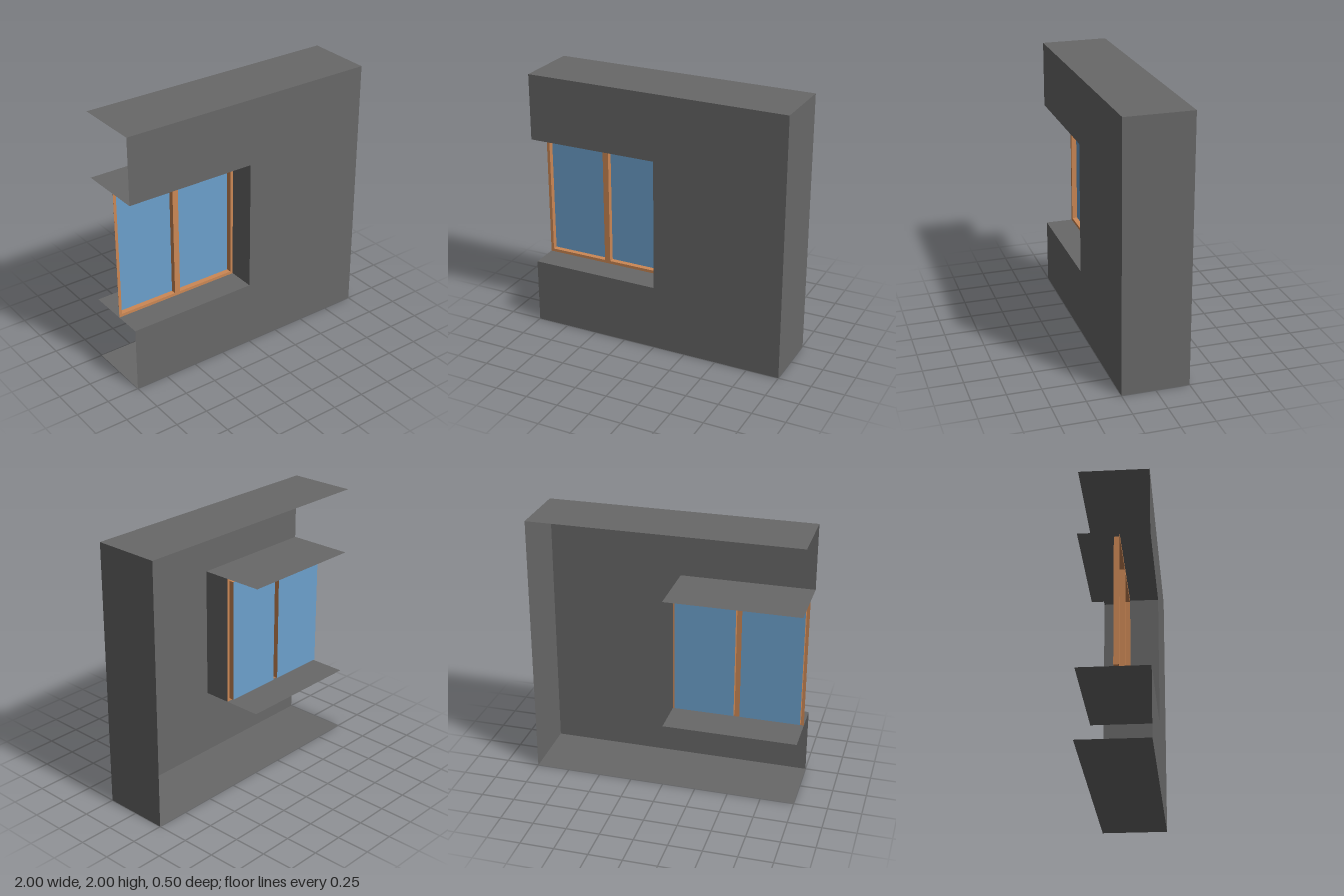
import * as THREE from 'three';

const DEPTH = 0.25;             // half depth of the wall
const FRAME_Z = 0.04;           // front plane of the window frame
const GLASS_Z = 0;              // plane of the panes
const BAR = 0.0225;             // visible width of a frame bar
const SILL = 0.5, LINTEL = 1.5; // bottom and top of the opening

const paint = (color) => new THREE.MeshStandardMaterial({ color, side: THREE.DoubleSide, flatShading: true });

function part(parent, name, geometry, material) {
  const mesh = new THREE.Mesh(geometry, material);
  mesh.name = name;
  parent.add(mesh);
  return mesh;
}

// Thin sheet lying level at height y, facing up (or down)
function levelSheet(x0, x1, z0, z1, y, down = false) {
  return new THREE.PlaneGeometry(x1 - x0, z1 - z0)
    .rotateX(down ? Math.PI / 2 : -Math.PI / 2)
    .translate((x0 + x1) / 2, y, (z0 + z1) / 2);
}

// Thin sheet standing across x, facing +x (or -x)
function sideSheet(y0, y1, z0, z1, x, inward = false) {
  return new THREE.PlaneGeometry(z1 - z0, y1 - y0)
    .rotateY(inward ? -Math.PI / 2 : Math.PI / 2)
    .translate(x, (y0 + y1) / 2, (z0 + z1) / 2);
}

const rectangle = (x0, x1, y0, y1) => [[x0, y0], [x1, y0], [x1, y1], [x0, y1]].map((p) => new THREE.Vector2(...p));

export function createModel() {
  const model = new THREE.Group();
  const wallPaint = paint(0x686868);
  const framePaint = paint(0xcc8855);
  const glassPaint = paint(0x6ca0cc);

  // Wall shell: notched front, top, bottom and one end, open at the back
  const wall = new THREE.Group();
  wall.name = 'wall';
  model.add(wall);
  const outline = [[-1, 0], [1, 0], [1, 2], [-1, 2], [-1, LINTEL], [0, LINTEL], [0, SILL], [-1, SILL]];
  const face = new THREE.Shape(outline.map((p) => new THREE.Vector2(...p)));
  part(wall, 'wallFront', new THREE.ShapeGeometry(face).translate(0, 0, DEPTH), wallPaint);
  part(wall, 'wallTop', levelSheet(-1, 1, -DEPTH, DEPTH, 2), wallPaint);
  part(wall, 'wallBottom', levelSheet(-1, 1, -DEPTH, DEPTH, 0, true), wallPaint);
  part(wall, 'wallEnd', sideSheet(0, 2, -DEPTH, DEPTH, 1), wallPaint);

  // Lining of the window opening
  part(wall, 'windowSill', levelSheet(-1, 0, -DEPTH, DEPTH, SILL), wallPaint);
  part(wall, 'windowLintel', levelSheet(-1, 0, -DEPTH, DEPTH, LINTEL, true), wallPaint);
  part(wall, 'windowReveal', sideSheet(SILL, LINTEL, FRAME_Z, DEPTH, 0, true), wallPaint);

  // Window: flat frame front with two openings, each lined back to its pane
  const windowGroup = new THREE.Group();
  windowGroup.name = 'window';
  model.add(windowGroup);
  const frame = new THREE.Shape(rectangle(-1, 0, SILL, LINTEL));
  const y0 = SILL + BAR, y1 = LINTEL - BAR;
  for (const [side, left] of [['right', -1], ['left', -0.5]]) {
    const x0 = left + BAR, x1 = left + 0.5 - BAR;
    frame.holes.push(new THREE.Path(rectangle(x0, x1, y0, y1)));
    part(windowGroup, side + 'FrameBottomEdge', levelSheet(x0, x1, GLASS_Z, FRAME_Z, y0), framePaint);
    part(windowGroup, side + 'FrameTopEdge', levelSheet(x0, x1, GLASS_Z, FRAME_Z, y1, true), framePaint);
    part(windowGroup, side + 'FrameRightEdge', sideSheet(y0, y1, GLASS_Z, FRAME_Z, x0), framePaint);
    part(windowGroup, side + 'FrameLeftEdge', sideSheet(y0, y1, GLASS_Z, FRAME_Z, x1, true), framePaint);
    const pane = new THREE.PlaneGeometry(x1 - x0, y1 - y0);
    part(windowGroup, side + 'Pane', pane, glassPaint).position.set((x0 + x1) / 2, (y0 + y1) / 2, GLASS_Z);
  }
  part(windowGroup, 'frameFront', new THREE.ShapeGeometry(frame).translate(0, 0, FRAME_Z), framePaint);

  return model;
}
